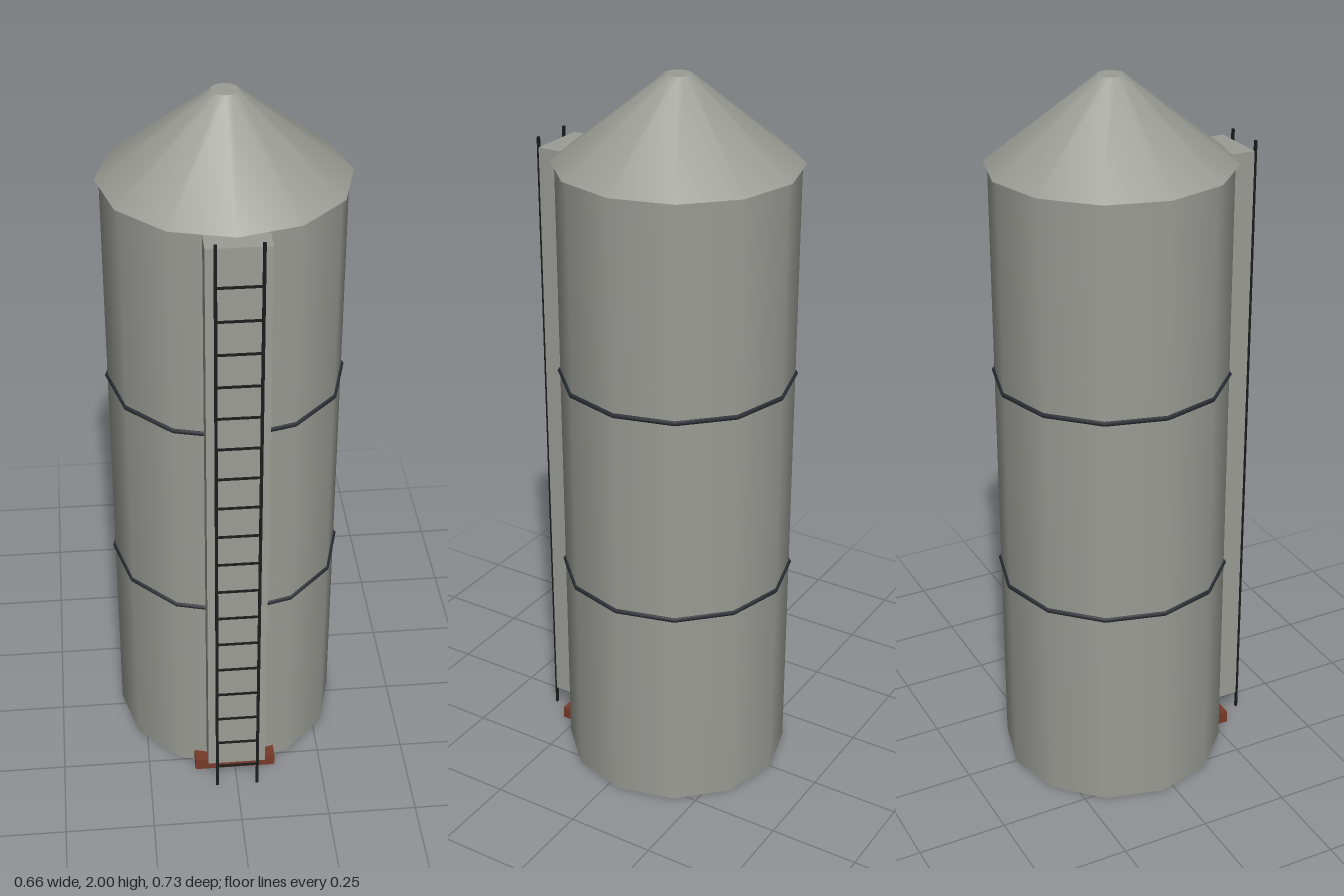
import * as THREE from 'three';

const mat = (name, color) => new THREE.MeshStandardMaterial({ name, color });

export function createModel() {
  const silo = new THREE.Group();
  silo.name = 'silo';
  const steel = mat('grey steel', 0x9c9c96);
  const bandMat = mat('dark band', 0x2b2f36);
  const ladderMat = mat('black ladder', 0x1c1c1c);
  const rust = mat('rust brown', 0x763a28);

  const SIDES = 12, CZ = -0.035;
  const add = (name, geometry, material, x, y, z, parent = silo) => {
    const mesh = new THREE.Mesh(geometry, material);
    mesh.name = name;
    mesh.position.set(x, y, z);
    parent.add(mesh);
    return mesh;
  };
  const box = (w, h, d) => new THREE.BoxGeometry(w, h, d);

  // Twelve-sided tank and its overhanging conical roof
  add('tank', new THREE.CylinderGeometry(0.317, 0.317, 1.77, SIDES), steel, 0, 0.885, CZ);
  add('roof', new THREE.CylinderGeometry(0.036, 0.328, 0.23, SIDES), steel, 0, 1.885, CZ);

  // Hoops around the tank
  for (const y of [0.598, 1.186]) {
    const hoop = add('hoop', new THREE.TorusGeometry(0.317, 0.007, 6, SIDES), bandMat, 0, y, CZ);
    hoop.rotation.x = Math.PI / 2;
  }

  // Unloading chute and the sill at its foot
  add('chute', box(0.164, 1.7, 0.068), steel, 0, 0.92, 0.308);
  add('sill', box(0.232, 0.036, 0.05), rust, 0, 0.018, 0.269);

  // Ladder
  const ladder = new THREE.Group();
  ladder.name = 'ladder';
  silo.add(ladder);
  for (const side of [-1, 1]) {
    add('ladderRail', box(0.008, 1.79, 0.006), ladderMat, side * 0.058, 0.895, 0.359, ladder);
  }
  const rung = box(0.116, 0.006, 0.004);
  for (let i = 0; i < 18; i++) {
    add('ladderRung', rung, ladderMat, 0, 0.075 + i * 0.094, 0.359, ladder);
  }
  return silo;
}
